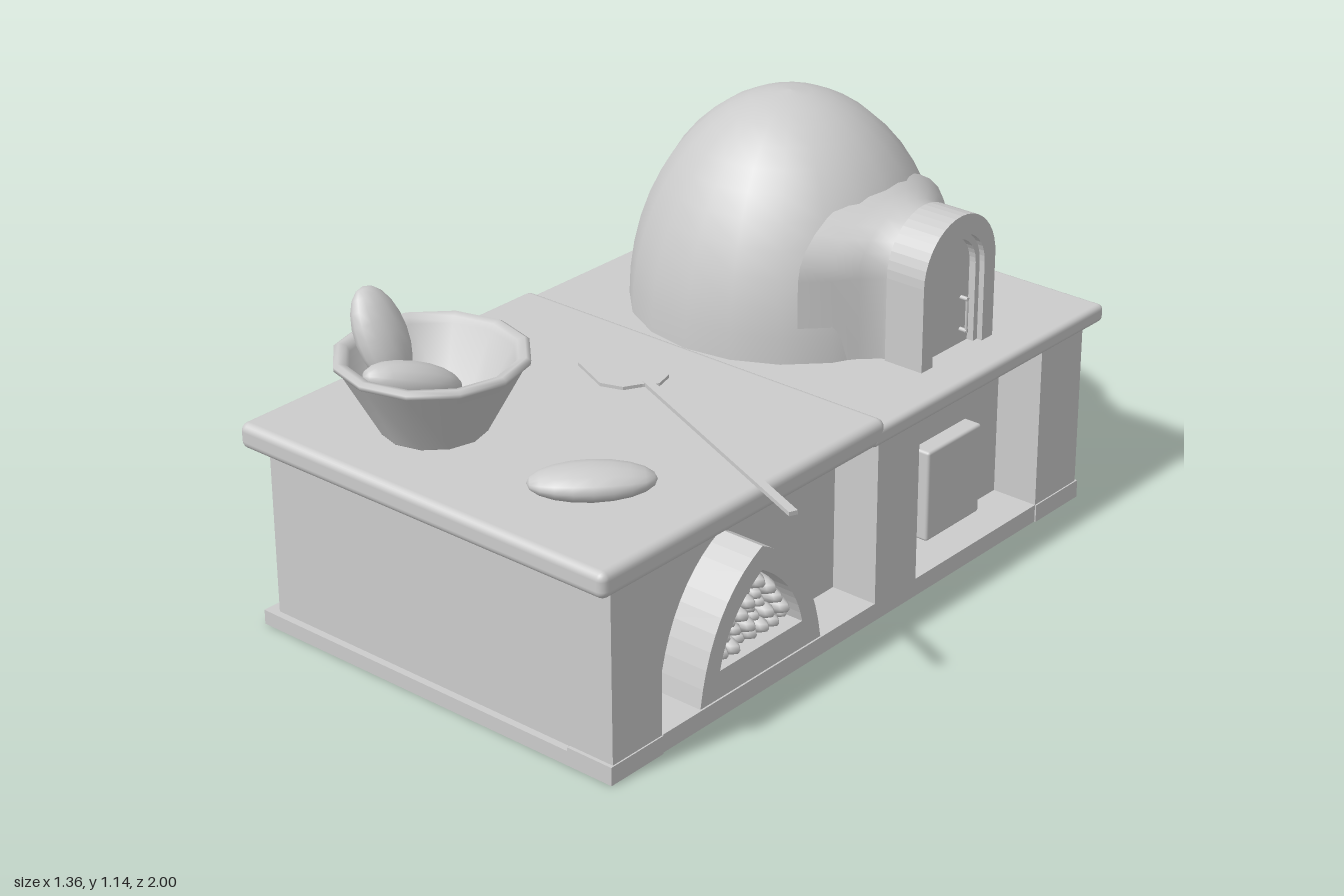
import * as THREE from 'three';
import { RoundedBoxGeometry } from 'three/addons/geometries/RoundedBoxGeometry.js';

const mat = new THREE.MeshStandardMaterial({ color: 0xcccccc });
const matDouble = new THREE.MeshStandardMaterial({ color: 0xcccccc, side: THREE.DoubleSide });

export function createModel() {
  const model = new THREE.Group();

  const add = (name, geometry, material = mat) => {
    const mesh = new THREE.Mesh(geometry, material);
    mesh.name = name;
    model.add(mesh);
    return mesh;
  };
  // Box from its limits on each axis
  const box = (name, x0, x1, y0, y1, z0, z1, r = 0) => {
    const s = [x1 - x0, y1 - y0, z1 - z0];
    const g = r ? new RoundedBoxGeometry(...s, 3, r) : new THREE.BoxGeometry(...s);
    return add(name, g.translate((x0 + x1) / 2, (y0 + y1) / 2, (z0 + z1) / 2));
  };
  // Outline facing +x, extruded from x0 to x1 and centred on z
  const extrudeX = (name, shape, x0, x1, z, curveSegments = 10) => {
    const g = new THREE.ExtrudeGeometry(shape, { depth: x1 - x0, bevelEnabled: false, curveSegments });
    return add(name, g.rotateY(Math.PI / 2).translate(x0, 0, z));
  };

  // Base: core, front panel, plinth, and piers that frame two niches on the right-hand face
  box('baseCore', -0.655, 0.38, 0, 0.505, -0.915, 0.81);
  box('frontPanel', -0.62, 0.38, 0, 0.505, 0.8, 0.955);
  box('plinth', -0.655, 0.38, 0, 0.04, 0.8, 0.975);
  box('nicheSill', 0.37, 0.515, 0, 0.05, -0.91, 0.96);
  for (const [z0, z1] of [[0.79, 0.965], [-0.2, -0.03], [-0.915, -0.73]]) {
    box('pier', 0.375, 0.515, 0, 0.505, z0, z1);
  }
  box('frontPierFoot', 0.38, 0.519, 0, 0.05, 0.79, 0.975);
  box('backPierFoot', 0.38, 0.519, 0, 0.05, -0.922, -0.73);

  // Worktop in two levels
  box('frontWorktop', -0.68, 0.525, 0.5, 0.57, -0.05, 1, 0.022);
  box('backWorktop', -0.68, 0.525, 0.5, 0.55, -1, 0, 0.015);

  // Cupboard door in the rear niche
  box('cupboardDoor', 0.37, 0.43, 0.06, 0.32, -0.59, -0.36, 0.008);

  // Pointed arch of the wood store
  const pointed = (target, w, y, cx, cy, top) => {
    target.moveTo(-w, y);
    target.lineTo(w, y);
    target.quadraticCurveTo(cx, cy, 0, top);
    target.quadraticCurveTo(-cx, cy, -w, y);
    return target;
  };
  const store = pointed(new THREE.Shape(), 0.23, 0.05, 0.19, 0.31, 0.4);
  store.holes.push(pointed(new THREE.Path(), 0.157, 0.125, 0.125, 0.26, 0.335));
  extrudeX('woodStoreArch', store, 0.375, 0.51, 0.415);

  // Stacked logs with rounded ends
  const logs = new THREE.Group();
  logs.name = 'logs';
  model.add(logs);
  let seed = 7;
  const rand = () => (seed = (seed * 16807) % 2147483647) / 2147483647;
  [7, 6, 5, 4, 2].forEach((count, row) => {
    for (let i = 0; i < count; i++) {
      const r = 0.019 + rand() * 0.01;
      const log = new THREE.Mesh(new THREE.SphereGeometry(r, 10, 8), mat);
      log.name = 'log';
      log.scale.x = 3;
      log.position.set(0.41 + rand() * 0.02, 0.147 + row * 0.033 + rand() * 0.006,
        0.415 + (i - (count - 1) / 2) * 0.041 + (rand() - 0.5) * 0.008);
      logs.add(log);
    }
  });

  // Oven dome
  const domeProfile = [];
  for (let i = 0; i <= 12; i++) {
    const a = (i / 12) * Math.PI / 2;
    domeProfile.push(new THREE.Vector2(0.428 * Math.cos(a), 0.545 + 0.595 * Math.sin(a)));
  }
  domeProfile[12].x = 0;
  add('ovenDome', new THREE.LatheGeometry(domeProfile, 20)).position.set(-0.148, 0, -0.495);

  // Neck flaring from the mouth into the dome: arched sections [x, half width, height]
  const sections = [[0.13, 0.31, 0.41], [0.19, 0.25, 0.39], [0.235, 0.19, 0.38], [0.28, 0.148, 0.372], [0.31, 0.142, 0.37]];
  const N = 16;
  const verts = [], index = [];
  sections.forEach(([x, w, h], s) => {
    const spring = 0.23;
    for (let i = 0; i <= N; i++) {
      const a = ((i - 1) / (N - 2)) * Math.PI;
      const foot = i === 0 ? 1 : i === N ? -1 : 0;
      const z = foot ? foot * w : w * Math.cos(a);
      const y = foot ? 0 : spring + (h - spring) * Math.sin(a);
      verts.push(x, 0.545 + y, -0.495 + z);
      if (s && i < N) {
        const b = s * (N + 1) + i, p = b - N - 1;
        index.push(p, b, p + 1, b, b + 1, p + 1);
      }
    }
  });
  const neck = new THREE.BufferGeometry();
  neck.setAttribute('position', new THREE.Float32BufferAttribute(verts, 3));
  neck.setIndex(index);
  neck.computeVertexNormals();
  add('ovenNeck', neck, matDouble);

  // Round-headed mouth, inner frame and door
  const rounded = (target, w, top, bottom) => {
    target.moveTo(-w, bottom);
    target.lineTo(w, bottom);
    target.lineTo(w, top - w);
    target.absarc(0, top - w, w, 0, Math.PI, false);
    target.lineTo(-w, bottom);
    return target;
  };
  const ring = (w, top, hw, htop) => {
    const s = rounded(new THREE.Shape(), w, top, 0.54);
    s.holes.push(rounded(new THREE.Path(), hw, htop, 0.545));
    return s;
  };
  extrudeX('ovenMouth', ring(0.153, 0.935, 0.107, 0.88), 0.293, 0.411, -0.495);
  extrudeX('doorFrame', ring(0.108, 0.881, 0.09, 0.862), 0.3, 0.395, -0.495);
  extrudeX('ovenDoor', rounded(new THREE.Shape(), 0.091, 0.863, 0.54), 0.3, 0.375, -0.495);

  // Door handle: upright bar on two knobs
  const bar = new THREE.CylinderGeometry(0.004, 0.004, 0.1, 8);
  add('doorHandle', bar).position.set(0.395, 0.635, -0.553);
  for (const y of [0.59, 0.68]) {
    const knob = new THREE.CylinderGeometry(0.006, 0.006, 0.025, 8).rotateZ(Math.PI / 2);
    add('handleKnob', knob).position.set(0.385, y, -0.553);
  }

  // Bowl with a rolled rim
  const bowlProfile = [[0, 0.57], [0.135, 0.57], [0.135, 0.571], [0.232, 0.75], [0.245, 0.756], [0.247, 0.768],
    [0.235, 0.775], [0.215, 0.77], [0.207, 0.755], [0.115, 0.6], [0, 0.595]];
  const bowl = new THREE.LatheGeometry(bowlProfile.map(p => new THREE.Vector2(...p)), 12);
  add('bowl', bowl, matDouble).position.set(-0.297, 0, 0.7);

  // Loaves: ellipsoids stretched along a direction
  const loaf = (name, center, dir, length, width, height) => {
    const g = new THREE.SphereGeometry(0.5, 14, 10).rotateX(Math.PI / 2).scale(width, height, length);
    const m = add(name, g);
    m.position.set(...center);
    m.quaternion.setFromRotationMatrix(new THREE.Matrix4().lookAt(
      new THREE.Vector3(...dir), new THREE.Vector3(), new THREE.Vector3(0, 1, 0)));
  };
  loaf('standingLoaf', [-0.45, 0.775, 0.72], [-0.5, 1, 0], 0.26, 0.15, 0.1);
  loaf('bowlLoaf', [-0.307, 0.71, 0.76], [-0.08, 0.08, 0.22], 0.27, 0.125, 0.1);
  loaf('counterLoaf', [0.245, 0.61, 0.725], [0.2, 0, -0.2], 0.31, 0.155, 0.085);

  // Bread peel: flat blade and a long handle reaching past the edge
  const blade = new THREE.Shape([[-0.18, 0.04], [-0.08, 0.085], [-0.03, 0.13], [-0.015, 0.185], [-0.045, 0.215],
    [-0.07, 0.26], [-0.13, 0.28], [-0.255, 0.225]].map(([x, z]) => new THREE.Vector2(x, -z)));
  const bladeGeo = new THREE.ExtrudeGeometry(blade, { depth: 0.009, bevelEnabled: false });
  add('peelBlade', bladeGeo.rotateX(-Math.PI / 2)).position.y = 0.575;
  const handle = add('peelHandle', new THREE.BoxGeometry(0.785, 0.011, 0.023));
  handle.position.set(0.312, 0.58, 0.348);
  handle.rotation.y = -Math.atan2(0.305, 0.715);

  return model;
}
